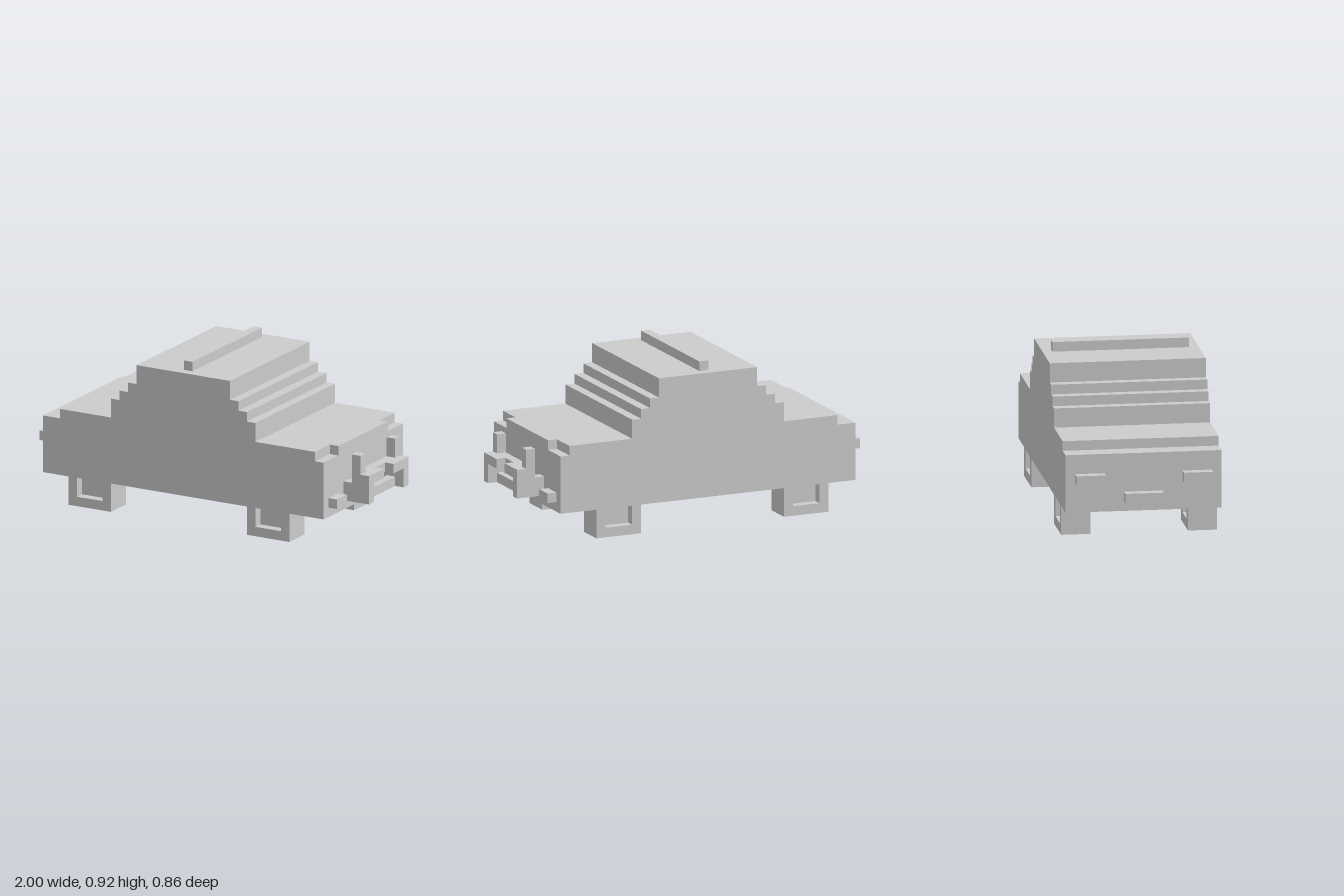
import * as THREE from 'three';

// Everything is laid out on a block grid: 37 blocks span the 2 unit length.
const U = 2 / 37;
const material = new THREE.MeshStandardMaterial({ color: 0xcccccc, flatShading: true });

function add(parent, name, geometry) {
  const mesh = new THREE.Mesh(geometry, material);
  mesh.name = name;
  parent.add(mesh);
  return mesh;
}

// Box from grid ranges in x, y and z
function block(parent, name, [x0, x1], [y0, y1], [z0, z1]) {
  const geometry = new THREE.BoxGeometry(x1 - x0, y1 - y0, z1 - z0);
  geometry.translate((x0 + x1) / 2, (y0 + y1) / 2, (z0 + z1) / 2);
  return add(parent, name, geometry);
}

// Side outline extruded across a z range
function slab(parent, name, points, z0, z1) {
  const shape = new THREE.Shape(points.map(([x, y]) => new THREE.Vector2(x, y)));
  const geometry = new THREE.ExtrudeGeometry(shape, { depth: z1 - z0, bevelEnabled: false });
  geometry.translate(0, 0, z0);
  return add(parent, name, geometry);
}

// Range in z, mirrored when side is -1
const span = (side, a, b) => (side > 0 ? [a, b] : [-b, -a]);

export function createModel() {
  const car = new THREE.Group();
  car.name = 'car';

  // Stepped body with cabin, and the hood lip between the cut corners
  slab(car, 'body', [
    [1, 3], [34, 3], [34, 9], [33, 9], [33, 10], [26, 10], [26, 12], [25, 12],
    [25, 13], [24, 13], [24, 14], [23, 14], [23, 16], [12, 16], [12, 14], [11, 14],
    [11, 13], [10, 13], [10, 12], [9, 12], [9, 10], [3, 10], [3, 9], [1, 9],
  ], -8, 8);
  block(car, 'hoodLip', [33, 34], [9, 10], [-5, 5]);
  block(car, 'roofBar', [17, 18], [16, 17], [-7, 7]);

  // Front guard bars
  block(car, 'guardUpperBar', [35, 36], [6, 7], [-3, 3]);
  block(car, 'guardLowerBar', [35, 36], [4, 5], [-3, 3]);

  // Rear centre plate
  block(car, 'rearPlate', [0, 1], [4, 5], [-2, 2]);

  for (const side of [1, -1]) {
    // Front guard ends, uprights and mounts
    block(car, 'guardMount', [34, 35], [4, 6], span(side, 3, 4));
    block(car, 'guardEnd', [35, 37], [4, 7], span(side, 3, 4));
    block(car, 'guardUpright', [35, 36], [7, 9], span(side, 3, 4));
    block(car, 'guardTip', [36, 37], [6, 7], span(side, 1, 3));

    // Lamps
    block(car, 'frontLamp', [34, 35], [4, 5], span(side, 5, 7));
    block(car, 'rearLamp', [0, 1], [6, 7], span(side, 4, 7));

    // Wheels: a U-shaped rim around a recessed web
    for (const x of [4, 25]) {
      const wheel = new THREE.Group();
      wheel.name = x < 18 ? 'rearWheel' : 'frontWheel';
      const [z0, z1] = span(side, 5, 8);
      slab(wheel, 'wheelRim', [
        [0, 0], [5, 0], [5, 3], [4, 3], [4, 1], [1, 1], [1, 3], [0, 3],
      ], z0, z1);
      block(wheel, 'wheelWeb', [1, 4], [1, 3], [z0 + 1, z1 - 1]);
      wheel.position.x = x;
      car.add(wheel);
    }
  }

  // Grid to model units, centred in x
  car.scale.setScalar(U);
  car.position.x = -1;
  const model = new THREE.Group();
  model.name = 'model';
  model.add(car);
  return model;
}
